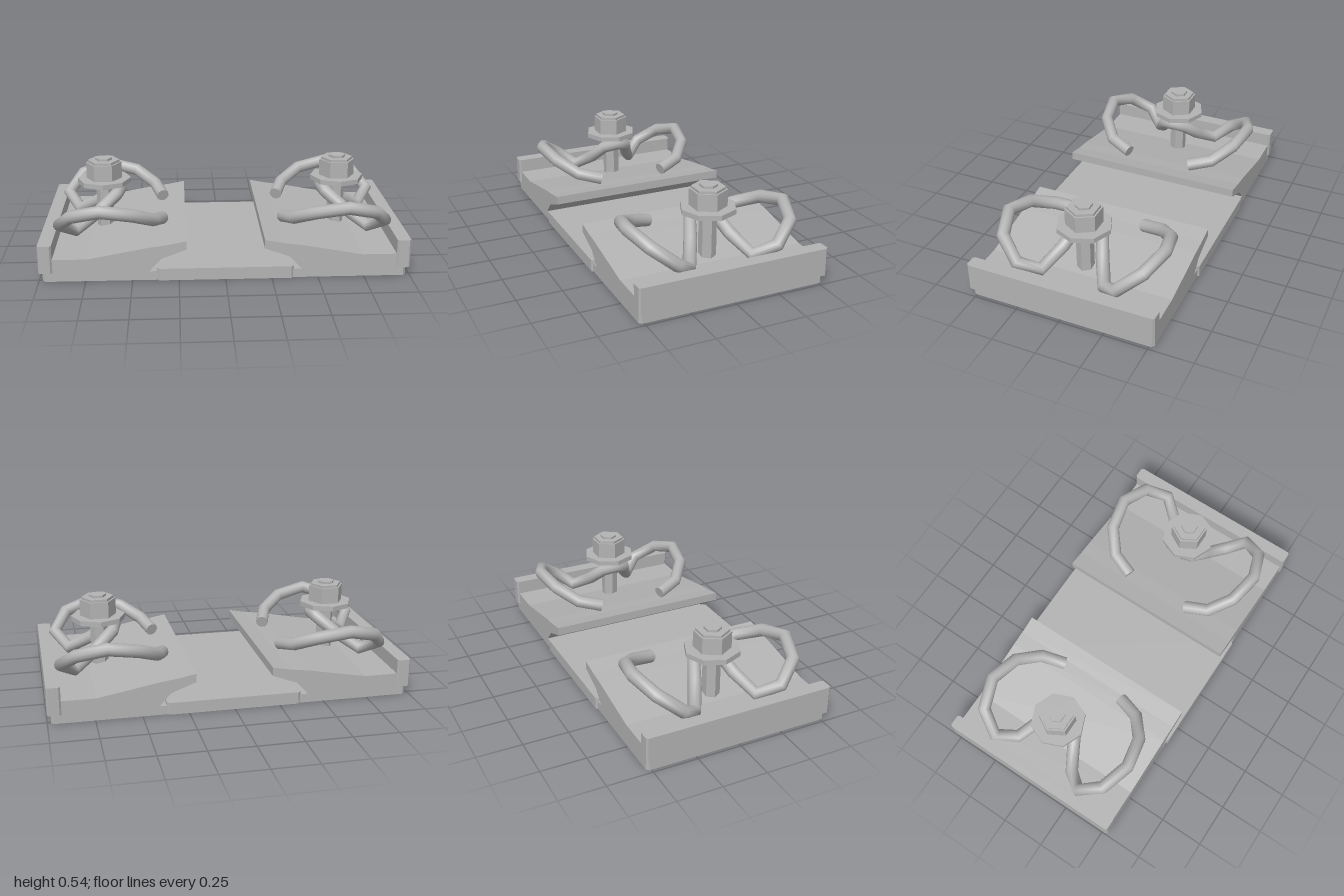
import * as THREE from 'three';

const steel = new THREE.MeshStandardMaterial({ color: 0xb3b3b3 });
steel.name = 'grey steel';

function part(name, geometry, parent) {
  const mesh = new THREE.Mesh(geometry, steel);
  mesh.name = name;
  parent.add(mesh);
  return mesh;
}

// Upright slab with chamfered vertical corners
function slab(x0, x1, y0, y1, hz, c) {
  const shape = new THREE.Shape([
    [x0 + c, -hz], [x1 - c, -hz], [x1, -hz + c], [x1, hz - c],
    [x1 - c, hz], [x0 + c, hz], [x0, hz - c], [x0, -hz + c],
  ].map(([x, z]) => new THREE.Vector2(x, z)));
  return new THREE.ExtrudeGeometry(shape, { depth: y1 - y0, bevelEnabled: false })
    .rotateX(-Math.PI / 2).translate(0, y0, 0);
}

// Flat-sided prism with a corner pointing along x
function prism(rTop, rBottom, y0, y1, sides) {
  return new THREE.CylinderGeometry(rTop, rBottom, y1 - y0, sides)
    .rotateY(Math.PI / 2).toNonIndexed().translate(0, (y0 + y1) / 2, 0);
}

// Path of straight runs with mitred bends
class BentRod extends THREE.Curve {
  constructor(points) { super(); this.points = points; }
  getPoint(t, target = new THREE.Vector3()) {
    const n = this.points.length - 1;
    const s = THREE.MathUtils.clamp(t, 0, 1) * n;
    const i = Math.min(Math.floor(s + 1e-9), n - 1);
    return target.lerpVectors(this.points[i], this.points[i + 1], s - i);
  }
  getPointAt(u, target) { return this.getPoint(u, target); }
  getTangentAt(u, target = new THREE.Vector3()) {
    const n = this.points.length - 1, i = Math.round(u * n), p = this.points;
    target.set(0, 0, 0);
    if (i > 0) target.add(p[i].clone().sub(p[i - 1]).normalize());
    if (i < n) target.add(p[i + 1].clone().sub(p[i]).normalize());
    return target.normalize();
  }
}

function springClip(parent) {
  // Half path from the free tip to the bridge behind the stud
  const half = [
    [0.34, 0.235, 0.195], [0.385, 0.27, 0.325], [0.50, 0.33, 0.42], [0.67, 0.365, 0.455],
    [0.83, 0.32, 0.40], [0.905, 0.235, 0.285], [0.83, 0.165, 0.185],
    [0.70, 0.25, 0.115], [0.60, 0.335, 0.07],
  ].map((p) => new THREE.Vector3(...p));
  const other = half.map((p) => new THREE.Vector3(p.x, p.y, -p.z)).reverse();
  const points = [...half, new THREE.Vector3(0.58, 0.35, 0), ...other];
  const r = 0.036;
  part('springClip', new THREE.TubeGeometry(new BentRod(points), points.length - 1, r, 12), parent);
  // End caps
  for (const [tip, next] of [[half[0], half[1]], [other.at(-1), other.at(-2)]]) {
    const cap = part('clipEnd', new THREE.CircleGeometry(r, 12), parent);
    const out = tip.clone().sub(next).normalize();
    cap.position.copy(tip);
    cap.quaternion.setFromUnitVectors(new THREE.Vector3(0, 0, 1), out);
  }
}

function fastening() {
  const g = new THREE.Group();
  // Sloping guide plate with undercut nose
  const profile = new THREE.Shape([
    [0.21, 0.17], [0.345, 0.12], [0.41, 0.05], [0.93, 0.05], [0.93, 0.125],
    [0.74, 0.125], [0.40, 0.187], [0.31, 0.199], [0.21, 0.218],
  ].map(([x, y]) => new THREE.Vector2(x, y)));
  part('guidePlate', new THREE.ExtrudeGeometry(profile, { depth: 1.05, bevelEnabled: false })
    .translate(0, 0, -0.525), g);
  part('shoulder', slab(0.925, 1.0, 0.05, 0.205, 0.535, 0.01), g);

  // Bolt stack
  const bolt = new THREE.Group();
  bolt.name = 'bolt';
  bolt.position.x = 0.67;
  g.add(bolt);
  const stack = [
    ['stud', 0.048, 0.048, 0.1, 0.535, 6],
    ['washer', 0.152, 0.152, 0.387, 0.415, 8],
    ['nut', 0.101, 0.101, 0.415, 0.508, 6],
    ['nutTop', 0.09, 0.09, 0.508, 0.522, 6],
  ];
  for (const [name, ...dims] of stack) {
    const geometry = prism(...dims);
    geometry.computeVertexNormals();
    part(name, geometry, bolt);
  }
  springClip(g);
  return g;
}

export function createModel() {
  const model = new THREE.Group();
  model.name = 'railFastening';
  part('basePlate', slab(-0.98, 0.98, 0, 0.05, 0.525, 0.015), model);
  part('railPad', slab(-0.37, 0.37, 0, 0.067, 0.535, 0.015), model);
  // Matching fastenings on both sides
  ['left', 'right'].forEach((side, i) => {
    const f = fastening();
    f.name = side + 'Fastening';
    f.rotation.y = i * Math.PI;
    model.add(f);
  });
  return model;
}
